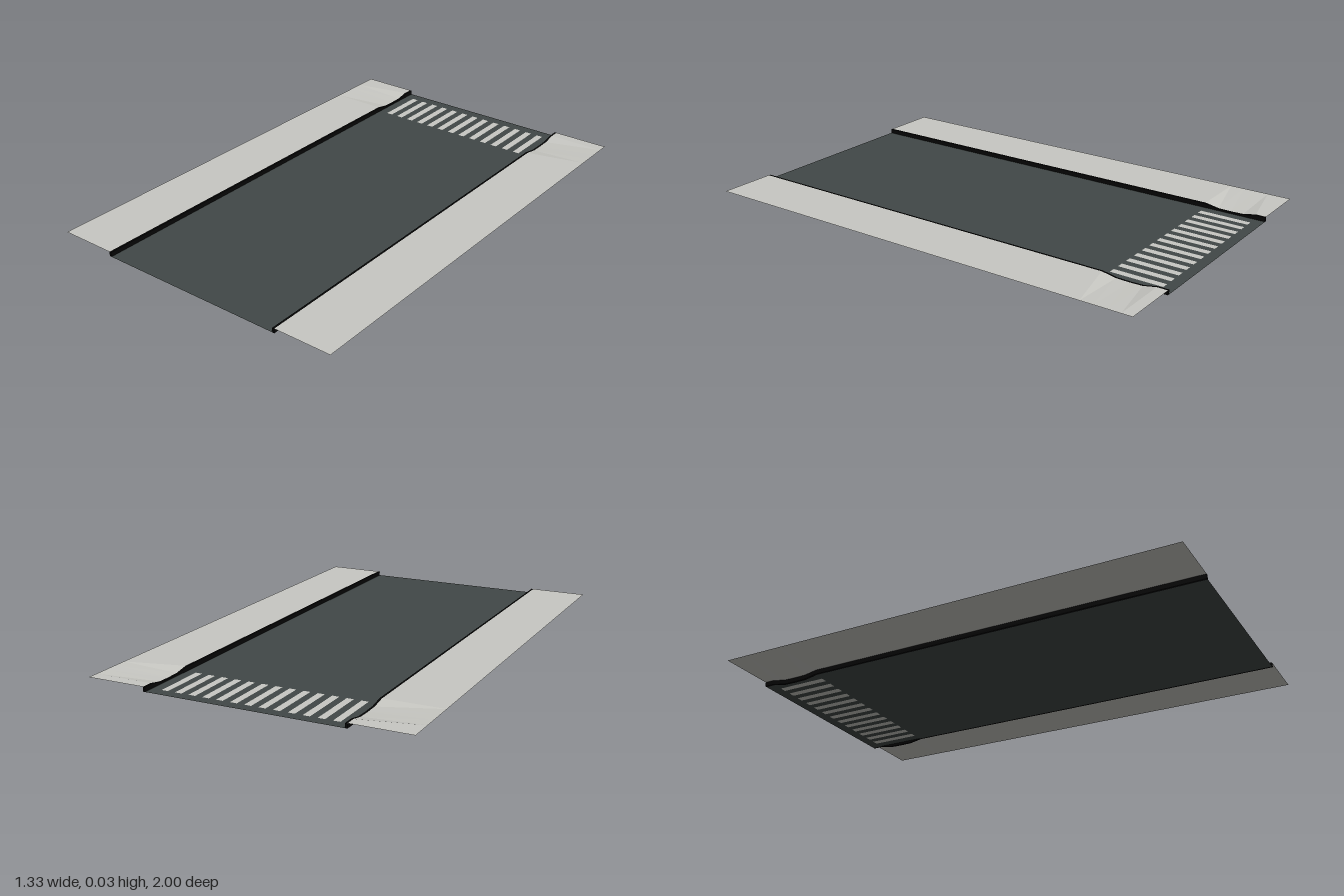
import * as THREE from 'three';

const ROAD_Y = 0.012, TOP_Y = 0.031, DIP = 0.012;
const KERB_IN = 0.409, KERB_OUT = 0.418, EDGE = 0.665;

// stations along the street: [z, share of the dropped-kerb depth]
const stations = [[1, 0], [-0.73, 0], [-0.79, 0.9], [-0.845, 1], [-0.9, 0.9], [-0.955, 0], [-1, 0]];

const mat = (name, color) => {
  const m = new THREE.MeshStandardMaterial({ color, side: THREE.DoubleSide });
  m.name = name;
  return m;
};

// Sweep a cross-section along the stations; profile(drop) returns [x, y] points.
function sweep(profile, closed) {
  const pos = [];
  const quad = (a, b, c, d) => pos.push(...a, ...b, ...c, ...a, ...c, ...d);
  const rows = stations.map(([z, t]) => profile(t * DIP).map(([x, y]) => [x, y, z]));
  const n = rows[0].length;
  for (let i = 0; i < rows.length - 1; i++) {
    for (let j = 0; j < (closed ? n : n - 1); j++) {
      const k = (j + 1) % n;
      quad(rows[i][j], rows[i][k], rows[i + 1][k], rows[i + 1][j]);
    }
  }
  if (closed) {
    const a = rows[0], b = rows[rows.length - 1];
    quad(a[3], a[2], a[1], a[0]);
    quad(b[0], b[1], b[2], b[3]);
  }
  const g = new THREE.BufferGeometry();
  g.setAttribute('position', new THREE.Float32BufferAttribute(pos, 3));
  g.computeVertexNormals();
  return g;
}

// Rectangle in shape coordinates, where shape y becomes -z
function rect(Type, x0, x1, z0, z1) {
  const p = [[x0, -z1], [x1, -z1], [x1, -z0], [x0, -z0]];
  return new Type(p.map(([x, y]) => new THREE.Vector2(x, y)));
}

export function createModel() {
  const group = new THREE.Group();
  const asphalt = mat('asphalt', 0x414847);
  const concrete = mat('pale concrete', 0xc8c8c3);
  const black = mat('kerb black', 0x050505);

  const add = (name, geometry, material) => {
    const m = new THREE.Mesh(geometry, material);
    m.name = name;
    group.add(m);
    return m;
  };
  const addFlat = (name, shape, material) => {
    const m = add(name, new THREE.ShapeGeometry(shape).rotateX(-Math.PI / 2), material);
    m.position.y = ROAD_Y;
  };

  // Road with the crossing stripes let into its surface
  const road = rect(THREE.Shape, -KERB_IN, KERB_IN, -1, 1);
  for (let i = -6; i <= 6; i++) {
    const box = [i * 0.059 - 0.0143, i * 0.059 + 0.0143, -0.955, -0.735];
    road.holes.push(rect(THREE.Path, ...box));
    addFlat('crossingStripe', rect(THREE.Shape, ...box), concrete);
  }
  addFlat('road', road, asphalt);

  // Pavements and kerbs, both lowered at the crossing
  for (const [side, s] of [['left', 1], ['right', -1]]) {
    const order = (pts) => (s > 0 ? pts : pts.reverse()).map(([x, y]) => [x * s, y]);
    add(side + 'Pavement', sweep((d) => order([[KERB_OUT, TOP_Y - d], [EDGE, TOP_Y]]), false), concrete);
    add(side + 'Kerb', sweep((d) => order([
      [KERB_IN, ROAD_Y - d], [KERB_IN, TOP_Y - d], [KERB_OUT, TOP_Y - d], [KERB_OUT, ROAD_Y - d],
    ]), true), black);
  }
  return group;
}
